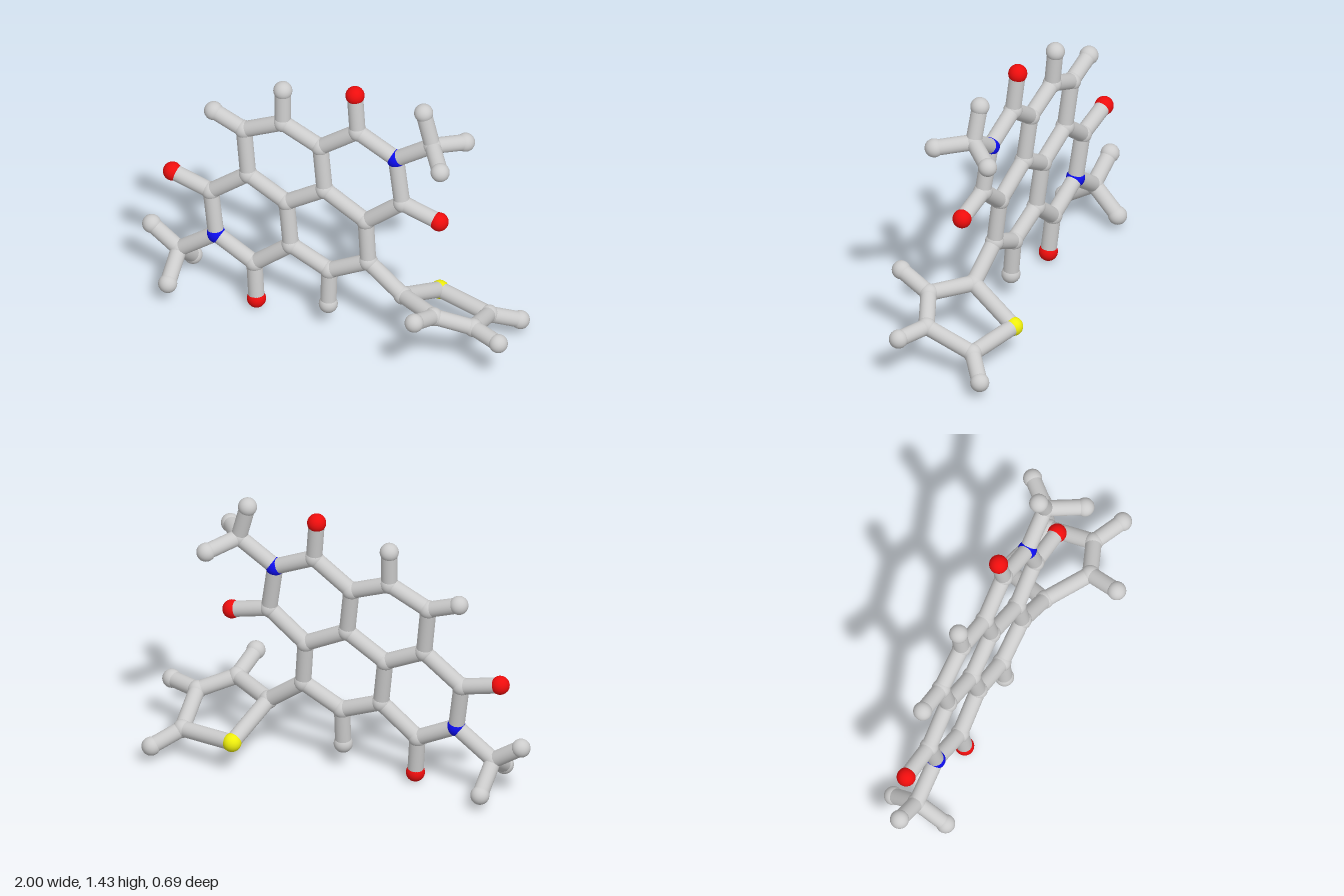
import * as THREE from 'three';

const BALL = 0.047, STICK = 0.04;

// The fused ring core is flat and lies in one slightly tilted plane.
const planeZ = (x, y) => -0.007 + 0.051 * x - 0.077 * y;

// Atoms as [x, y, z]; z is left out for atoms in the core plane.
const carbons = {
  // fused rings
  c3: [0.185, 0.665], c4: [-0.04, 0.78], c5: [-0.07, 1.02], c6: [-0.275, 1.10], c7: [-0.48, 1.0],
  c8: [-0.45, 0.75], c9: [-0.24, 0.65], c10: [-0.21, 0.41], c11: [0, 0.325], c12: [0.205, 0.435],
  // carbonyl carbons
  c1: [0.125, 1.165], c2: [0.375, 0.825], c13: [-0.645, 0.595], c14: [-0.40, 0.25],
  // methyl carbons
  m1: [0.525, 1.20, -0.075], m2: [-0.805, 0.21, -0.068],
  // five-sided ring
  t1: [0.395, 0.295, -0.01], t2: [0.61, 0.32, 0.128], t3: [0.79, 0.248, 0.05], t4: [0.775, 0.155, -0.195],
};
const hydrogens = {
  h6: [-0.28, 1.285], h7: [-0.645, 1.06], h11: [0, 0.13],
  m1a: [0.475, 1.38, -0.085], m1b: [0.63, 1.18, 0.088], m1c: [0.645, 1.16, -0.212],
  m2a: [-0.955, 0.31, -0.082], m2b: [-0.802, 0.107, 0.092], m2c: [-0.787, 0.08, -0.207],
  t2h: [0.575, 0.387, 0.295], t3h: [0.95, 0.245, 0.123], t4h: [0.90, 0.084, -0.297],
};
const oxygens = { o1: [0.105, 1.37], o2: [0.575, 0.775], o3: [-0.853, 0.647], o4: [-0.383, 0.048] };
const nitrogens = { n1: [0.335, 1.07], n2: [-0.61, 0.357] };
const sulfurs = { s: [0.485, 0.17, -0.275] };

// Chains of bonded atoms.
const chains = [
  'c3 c4 c5 c6 c7 c8 c9 c10 c11 c12 c3', 'c4 c9',
  'c5 c1 n1 c2 c3', 'c8 c13 n2 c14 c10',
  'c1 o1', 'c2 o2', 'c13 o3', 'c14 o4',
  'c6 h6', 'c7 h7', 'c11 h11',
  'n1 m1 m1a', 'm1b m1 m1c', 'n2 m2 m2a', 'm2b m2 m2c',
  'c12 t1 t2 t3 t4 s t1', 't2 t2h', 't3 t3h', 't4 t4h',
];

export function createModel() {
  const model = new THREE.Group();
  model.name = 'molecule';
  const points = {};
  const sphere = new THREE.SphereGeometry(BALL, 32, 20);

  // Balls, one group per kind of atom
  const addAtoms = (name, atoms, color) => {
    const group = new THREE.Group();
    group.name = name + 'Atoms';
    const material = new THREE.MeshStandardMaterial({ color });
    for (const [key, [x, y, z = planeZ(x, y)]] of Object.entries(atoms)) {
      const ball = new THREE.Mesh(sphere, material);
      ball.name = name + 'Atom';
      ball.position.set(x, y, z);
      points[key] = ball.position;
      group.add(ball);
    }
    model.add(group);
  };
  addAtoms('carbon', carbons, 0xcccccc);
  addAtoms('hydrogen', hydrogens, 0xcccccc);
  addAtoms('oxygen', oxygens, 0xee0d0d);
  addAtoms('nitrogen', nitrogens, 0x0d0dee);
  addAtoms('sulfur', sulfurs, 0xeeee0d);

  // Sticks between bonded atoms
  const bonds = new THREE.Group();
  bonds.name = 'bonds';
  const stickMaterial = new THREE.MeshStandardMaterial({ color: 0xcccccc });
  const up = new THREE.Vector3(0, 1, 0);
  for (const chain of chains) {
    const keys = chain.split(' ');
    for (let i = 1; i < keys.length; i++) {
      const a = points[keys[i - 1]], b = points[keys[i]];
      const dir = b.clone().sub(a);
      const stick = new THREE.Mesh(
        new THREE.CylinderGeometry(STICK, STICK, dir.length(), 24, 1, true), stickMaterial);
      stick.name = 'bond';
      stick.position.copy(a).add(b).multiplyScalar(0.5);
      stick.quaternion.setFromUnitVectors(up, dir.normalize());
      bonds.add(stick);
    }
  }
  model.add(bonds);
  return model;
}
